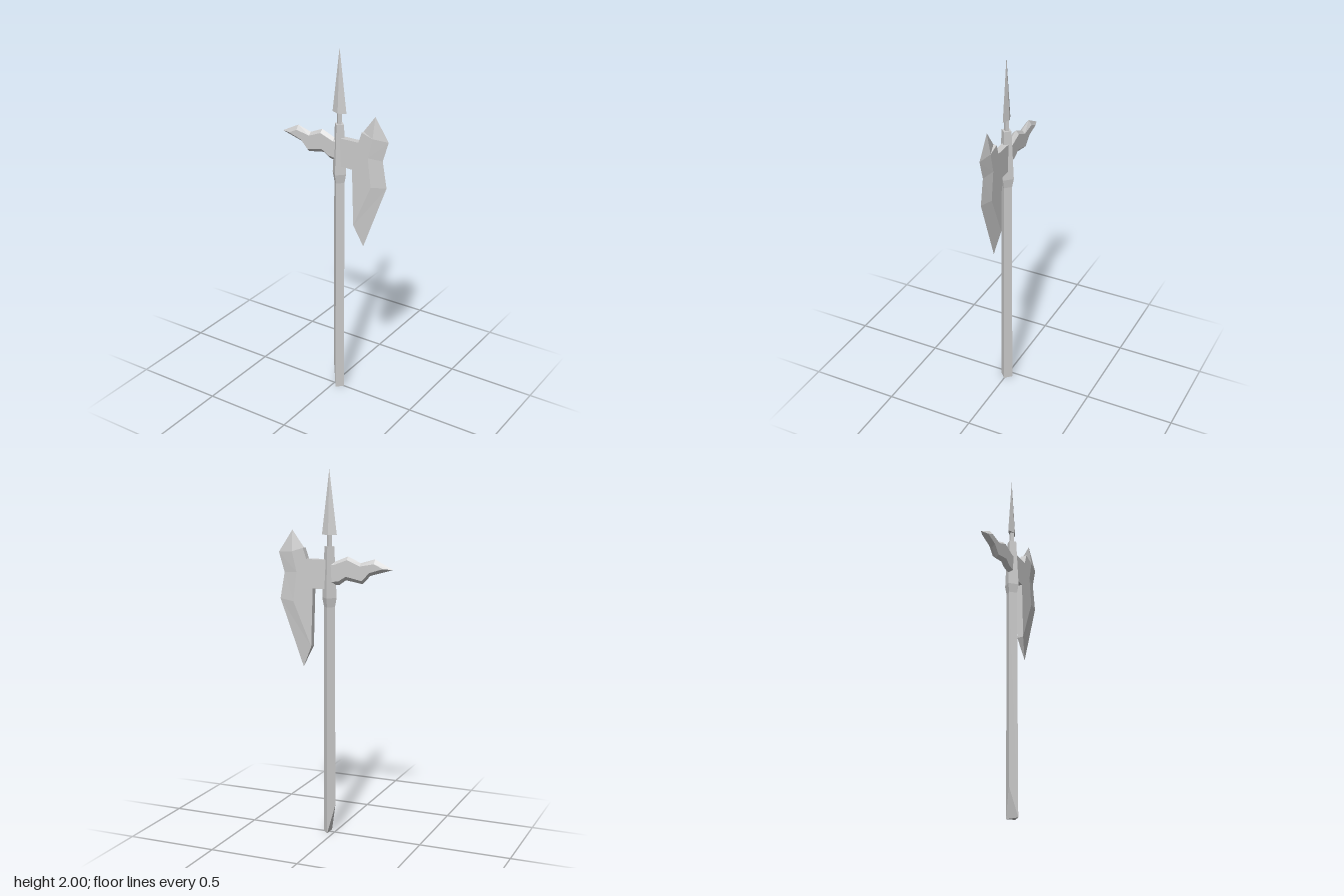
import * as THREE from 'three';

const AXIS_X = 0.03; // the pole stands slightly off centre
const HALF = 0.018; // half thickness of the blade and the spike

const steel = new THREE.MeshStandardMaterial({ color: 0xcccccc });
steel.name = 'grey steel';

// Faceted mesh with one normal per face
function faceted(name, geometry) {
  const flat = geometry.index ? geometry.toNonIndexed() : geometry;
  flat.computeVertexNormals();
  const mesh = new THREE.Mesh(flat, steel);
  mesh.name = name;
  return mesh;
}

// Four-sided upright part from a [radius, y] profile, bottom to top
function diamondColumn(profile) {
  return new THREE.LatheGeometry(profile.map(([r, y]) => new THREE.Vector2(r, y)), 4);
}

// Plate with flat faces (inner outline, z = +-HALF) sloping to an edge
// (outer outline, z = 0). Rows are [outerX, outerY, innerX, innerY],
// anticlockwise; the inner point defaults to the outer one.
function bevelledPlate(rows) {
  const outer = rows.map(([x, y]) => new THREE.Vector2(x, y));
  const inner = rows.map(([x, y, ix = x, iy = y]) => new THREE.Vector2(ix, iy));
  const cap = inner.filter((p, i) => !p.equals(inner[(i + 1) % inner.length]));
  const capFaces = THREE.ShapeUtils.triangulateShape(cap, []);
  const positions = [];
  for (const side of [1, -1]) {
    const z = side * HALF;
    const face = (a, b, c) => {
      for (const p of side > 0 ? [a, b, c] : [a, c, b]) positions.push(...p);
    };
    const high = (p) => [p.x, p.y, z];
    const edge = (p) => [p.x, p.y, 0];
    for (const [a, b, c] of capFaces) face(high(cap[a]), high(cap[b]), high(cap[c]));
    outer.forEach((p, i) => {
      const j = (i + 1) % outer.length;
      face(edge(p), edge(outer[j]), high(inner[i]));
      if (!inner[i].equals(inner[j])) face(edge(outer[j]), high(inner[j]), high(inner[i]));
    });
  }
  const geometry = new THREE.BufferGeometry();
  geometry.setAttribute('position', new THREE.Float32BufferAttribute(positions, 3));
  return geometry;
}

export function createModel() {
  const model = new THREE.Group();
  model.name = 'halberd';

  // Pole, with its foot cut at a slant on one side
  const poleGeometry = diamondColumn([[0, 0], [0.035, 0], [0.032, 1.28], [0, 1.28]]);
  const pos = poleGeometry.attributes.position;
  for (let i = 0; i < pos.count; i++) {
    if (pos.getX(i) < -0.02 && pos.getY(i) < 0.01) pos.setY(i, 0.16);
  }
  const pole = faceted('pole', poleGeometry);

  // Socket that holds the head
  const socket = faceted('socket',
    diamondColumn([[0, 1.27], [0.032, 1.27], [0.042, 1.32], [0.028, 1.595], [0, 1.595]]));

  // Thin neck and flattened spear point
  const neck = faceted('neck', diamondColumn([[0, 1.58], [0.014, 1.58], [0.014, 1.67], [0, 1.67]]));
  const point = faceted('spearPoint', diamondColumn([[0, 1.655], [0.043, 1.655], [0, 2]]));
  point.scale.z = 0.42;

  for (const part of [pole, socket, neck, point]) {
    part.position.x = AXIS_X;
    model.add(part);
  }

  // Axe blade with its arm
  model.add(faceted('axeBlade', bevelledPlate([
    [0.03, 1.523],
    [0.03, 1.368],
    [0.12, 1.365],
    [0.13, 1.048],
    [0.183, 0.93, 0.13, 1.048],
    [0.32, 1.3, 0.235, 1.29],
    [0.294, 1.444, 0.215, 1.45],
    [0.327, 1.553, 0.242, 1.56],
    [0.246, 1.675, 0.242, 1.56],
    [0.177, 1.582],
    [0.157, 1.523],
  ])));

  // Wavy back spike
  model.add(faceted('backSpike', bevelledPlate([
    [0.03, 1.513, 0.03, 1.497],
    [0, 1.513, 0, 1.497],
    [-0.077, 1.545, -0.077, 1.527],
    [-0.15, 1.513, -0.15, 1.497],
    [-0.23, 1.537, -0.23, 1.513],
    [-0.33, 1.485, -0.28, 1.489],
    [-0.204, 1.448, -0.204, 1.465],
    [-0.161, 1.402, -0.161, 1.42],
    [-0.066, 1.418, -0.071, 1.439],
    [-0.03, 1.392, -0.03, 1.413],
    [0.03, 1.384, 0.03, 1.403],
  ])));

  return model;
}
